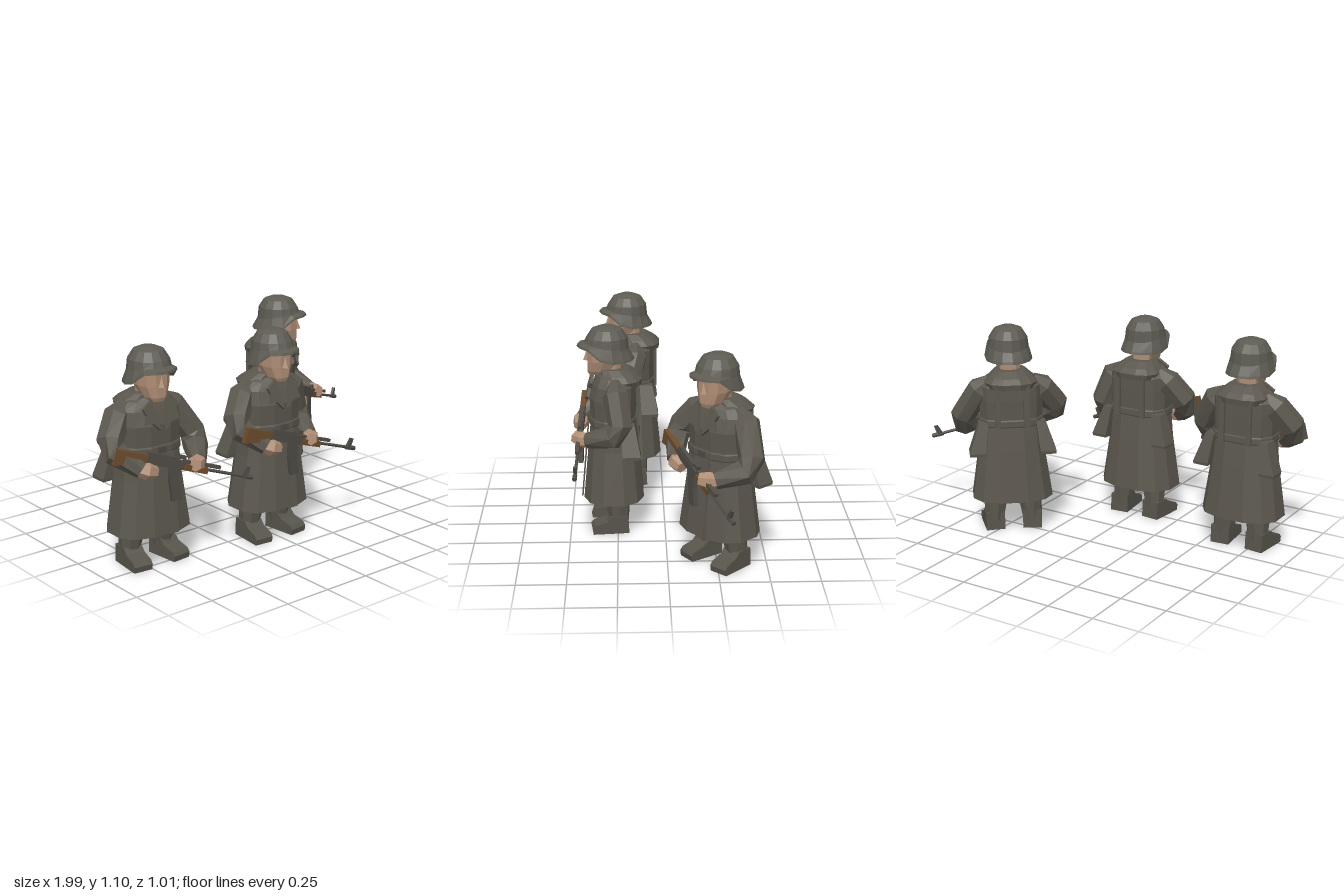
import * as THREE from 'three';

const mat = (name, color) => {
  const m = new THREE.MeshStandardMaterial({ color, flatShading: true });
  m.name = name;
  return m;
};
const V = (x, y, z) => new THREE.Vector3(x, y, z);
const rad = THREE.MathUtils.degToRad;

// Skin through rings of equal size, closed at both ends
function loft(rings) {
  const n = rings[0].length, pos = [], idx = [];
  rings.forEach(r => r.forEach(p => pos.push(p.x, p.y, p.z)));
  for (let k = 0; k < rings.length - 1; k++) {
    for (let j = 0; j < n; j++) {
      const a = k * n + j, b = k * n + (j + 1) % n;
      idx.push(a, b, b + n, a, b + n, a + n);
    }
  }
  [0, rings.length - 1].forEach(k => {
    const c = rings[k].reduce((s, p) => s.add(p), V(0, 0, 0)).divideScalar(n);
    const ci = pos.length / 3;
    pos.push(c.x, c.y, c.z);
    for (let j = 0; j < n; j++) {
      const a = k * n + j, b = k * n + (j + 1) % n;
      if (k === 0) idx.push(ci, b, a); else idx.push(ci, a, b);
    }
  });
  const g = new THREE.BufferGeometry();
  g.setAttribute('position', new THREE.Float32BufferAttribute(pos, 3));
  g.setIndex(idx);
  g.computeVertexNormals();
  return g;
}

// Horizontal slightly squared sections: [y, halfWidth, halfDepth, zCentre, xCentre]
function body(sections, n = 12, power = 0.8) {
  const sq = v => Math.sign(v) * Math.pow(Math.abs(v), power);
  return loft(sections.map(([y, w, d, zc = 0, xc = 0]) =>
    Array.from({ length: n }, (_, j) => {
      const a = (j + 0.5) / n * Math.PI * 2;
      return V(xc + w * sq(Math.sin(a)), y, zc + d * sq(Math.cos(a)));
    })));
}

// Faceted limb along points with a radius at each
function limb(pts, radii, n = 7) {
  return loft(pts.map((p, i) => {
    const t = pts[Math.min(i + 1, pts.length - 1)].clone().sub(pts[Math.max(i - 1, 0)]).normalize();
    const u = V(0.2, 0.1, 1).cross(t).normalize(), v = t.clone().cross(u);
    return Array.from({ length: n }, (_, j) => {
      const a = j / n * Math.PI * 2;
      return p.clone().addScaledVector(u, radii[i] * Math.cos(a)).addScaledVector(v, radii[i] * Math.sin(a));
    });
  }));
}

// Flat outline given a thickness, centred on z = 0
function plate(points, depth) {
  const shape = new THREE.Shape(points.map(p => new THREE.Vector2(...p)));
  return new THREE.ExtrudeGeometry(shape, { depth, bevelEnabled: false }).translate(0, 0, -depth / 2);
}

const box = (w, h, d, x, y, z) => new THREE.BoxGeometry(w, h, d).translate(x, y, z);

function add(parent, name, geo, material) {
  const m = new THREE.Mesh(geo, material);
  m.name = name;
  parent.add(m);
  return m;
}

// Helmet: dome with a flared rim, high at the brow and low at the sides and nape
function helmetGeometry() {
  const n = 14;
  const rimY = c => 0.923 + 0.07 * THREE.MathUtils.smoothstep(c, 0.0, 0.75);
  const ring = (w, front, back, yOf) => Array.from({ length: n }, (_, j) => {
    const a = j / n * Math.PI * 2, c = Math.cos(a);
    return V(w * Math.sin(a), yOf(c), 0.028 + (c > 0 ? front : back) * c);
  });
  return loft([
    ring(0.09, 0.1, 0.09, c => rimY(c) + 0.025),
    ring(0.113, 0.146, 0.13, c => rimY(c) + 0.004),
    ring(0.124, 0.156, 0.142, rimY),
    ring(0.122, 0.153, 0.138, c => rimY(c) + 0.012),
    ring(0.106, 0.117, 0.113, c => 0.998 + 0.018 * c),
    ring(0.1, 0.106, 0.107, () => 1.042),
    ring(0.074, 0.078, 0.08, () => 1.084),
    ring(0.035, 0.036, 0.04, () => 1.1),
  ]);
}

function buildRifle(M) {
  const g = new THREE.Group();
  g.name = 'rifle';
  add(g, 'stock', plate([[-0.17, -0.055], [0, -0.022], [0, 0.02], [-0.17, 0.025]], 0.028), M.wood);
  add(g, 'receiver', box(0.2, 0.042, 0.03, 0.09, 0.002, 0), M.metal);
  add(g, 'receiverCover', box(0.15, 0.016, 0.022, 0.07, 0.028, 0), M.metal);
  add(g, 'pistolGrip', plate([[0, -0.015], [0.03, -0.015], [0.012, -0.085], [-0.02, -0.08]], 0.024), M.wood);
  add(g, 'magazine', plate([[0.115, -0.015], [0.165, -0.015], [0.183, -0.08], [0.225, -0.165],
    [0.178, -0.182], [0.138, -0.095]], 0.024), M.metal);
  add(g, 'handguard', box(0.13, 0.03, 0.032, 0.25, -0.004, 0), M.wood);
  add(g, 'gasTube', box(0.2, 0.016, 0.02, 0.28, 0.022, 0), M.metal);
  add(g, 'rearSight', box(0.035, 0.018, 0.018, 0.17, 0.04, 0), M.metal);
  add(g, 'barrel', new THREE.CylinderGeometry(0.008, 0.008, 0.36, 6).rotateZ(Math.PI / 2).translate(0.38, 0, 0), M.metal);
  add(g, 'frontSight', plate([[0.505, -0.012], [0.535, -0.012], [0.54, 0.05], [0.522, 0.05]], 0.014), M.metal);
  add(g, 'muzzle', new THREE.CylinderGeometry(0.012, 0.012, 0.035, 6).rotateZ(Math.PI / 2).translate(0.55, 0, 0), M.metal);
  return g;
}

// One figure; twist swings the rifle and left arm about the right hand
function buildSoldier(M, name, x, z, yaw, twist, headYaw) {
  const s = new THREE.Group();
  s.name = name;
  s.position.set(x, 0, z);
  s.rotation.y = rad(yaw);

  // Coat with belt, collar, lapels and front overlap
  add(s, 'coat', body([[0.18, 0.217, 0.162], [0.46, 0.175, 0.135], [0.6, 0.165, 0.12], [0.73, 0.172, 0.124],
    [0.8, 0.168, 0.112, -0.01], [0.84, 0.125, 0.095, -0.01], [0.86, 0.08, 0.075, 0]]), M.coat);
  add(s, 'belt', body([[0.585, 0.169, 0.125], [0.592, 0.172, 0.128], [0.62, 0.172, 0.128], [0.627, 0.169, 0.125]]), M.coat);
  add(s, 'collar', body([[0.795, 0.125, 0.105, -0.045], [0.825, 0.14, 0.112, -0.043], [0.85, 0.115, 0.1, -0.03],
    [0.878, 0.08, 0.08, -0.005]]), M.coat);
  for (const side of [1, -1]) {
    const lapel = plate([[0.015, -0.085], [0.055, -0.045], [0.1, -0.045], [0.085, 0.0], [0.1, 0.03], [0.045, 0.07]]
      .map(([px, py]) => [px * side, py]), 0.016);
    const m = add(s, 'lapel', lapel, M.coat);
    m.position.set(0, 0.79, 0.118);
    m.rotation.x = rad(-14);
    add(s, 'backStrap', box(0.03, 0.24, 0.014, side * 0.075, 0.705, -0.128), M.coat);
    add(s, 'hipPouch', body([[0.44, 0.05, 0.055, -0.095, side * 0.185], [0.455, 0.052, 0.058, -0.095, side * 0.185],
      [0.61, 0.03, 0.045, -0.075, side * 0.15]], 4, 0.6), M.coat);
  }
  const flap = add(s, 'coatOverlap', box(0.05, 0.41, 0.008, 0.035, 0.385, 0.149), M.coat);
  flap.rotation.x = 0;
  flap.geometry.translate(0, -0.385, -0.149).rotateX(-0.092).translate(0, 0.385, 0.148);
  add(s, 'buckle', box(0.045, 0.032, 0.012, 0, 0.606, 0.128), M.metal);

  // Trousers and boots
  for (const side of [1, -1]) {
    add(s, 'trouserLeg', limb([V(side * 0.085, 0.26, -0.015), V(side * 0.092, 0.17, -0.018), V(side * 0.1, 0.05, -0.028)],
      [0.068, 0.066, 0.05], 8), M.coat);
    const boot = plate([[-0.075, 0], [0.115, 0], [0.12, 0.03], [0.105, 0.048], [0.04, 0.068], [0.015, 0.095], [-0.07, 0.095]], 0.1);
    const b = add(s, 'boot', boot.rotateY(-Math.PI / 2), M.boot);
    b.position.x = side * 0.105;
    b.rotation.y = side * 0.1;
  }

  // Head and helmet
  const head = new THREE.Group();
  head.name = 'head';
  head.rotation.y = rad(headYaw);
  s.add(head);
  add(head, 'neck', body([[0.8, 0.055, 0.055, 0.01], [0.92, 0.055, 0.055, 0.01]], 8), M.skin);
  add(head, 'face', body([[0.845, 0.038, 0.045, 0.08], [0.865, 0.055, 0.07, 0.063], [0.92, 0.077, 0.088, 0.045],
    [1.02, 0.083, 0.093, 0.042]], 10), M.skin);
  add(head, 'nose', new THREE.ConeGeometry(0.02, 0.055, 4).translate(0, 0.945, 0.132), M.skin);
  add(head, 'helmet', helmetGeometry(), M.helmet);

  // Arms and rifle
  const pivot = V(-0.11, 0.59, 0.165);
  const swing = p => p.sub(pivot).applyAxisAngle(V(0, 1, 0), rad(twist)).add(pivot);
  add(s, 'rightSleeve', limb([V(-0.11, 0.815, -0.015), V(-0.165, 0.775, -0.01), V(-0.238, 0.675, 0.035),
    V(-0.238, 0.625, 0.075), V(-0.15, 0.545, 0.165)], [0.04, 0.068, 0.068, 0.062, 0.042]), M.coat);
  add(s, 'rightHand', limb([V(-0.16, 0.55, 0.155), V(-0.125, 0.54, 0.175), V(-0.08, 0.525, 0.18)],
    [0.034, 0.046, 0.032], 6), M.skin);
  add(s, 'leftSleeve', limb([V(0.1, 0.815, -0.015), V(0.16, 0.775, -0.015), swing(V(0.215, 0.625, -0.04)),
    swing(V(0.215, 0.565, 0.0)), swing(V(0.165, 0.53, 0.135))], [0.04, 0.068, 0.066, 0.064, 0.042]), M.coat);
  add(s, 'leftHand', limb([V(0.17, 0.53, 0.125), V(0.148, 0.53, 0.16), V(0.118, 0.535, 0.2)].map(swing),
    [0.034, 0.045, 0.032], 6), M.skin);
  const rifle = buildRifle(M);
  rifle.position.copy(pivot);
  rifle.rotation.set(0, rad(twist - 3), rad(-17.5), 'YXZ');
  s.add(rifle);
  return s;
}

export function createModel() {
  const M = {
    coat: mat('coatCloth', 0x5b574e),
    helmet: mat('helmetSteel', 0x5d5b52),
    boot: mat('bootLeather', 0x57544b),
    skin: mat('skin', 0xb08e76),
    wood: mat('wood', 0x6b4b2c),
    metal: mat('gunMetal', 0x4e4b45),
  };
  const model = new THREE.Group();
  model.name = 'soldierSquad';
  model.add(
    buildSoldier(M, 'soldierOne', -0.687, 0.165, 0, -12, 0),
    buildSoldier(M, 'soldierTwo', -0.006, 0.27, 0, 0, 0),
    buildSoldier(M, 'soldierThree', 0.483, -0.262, 40, -12, 6),
  );
  return model;
}
